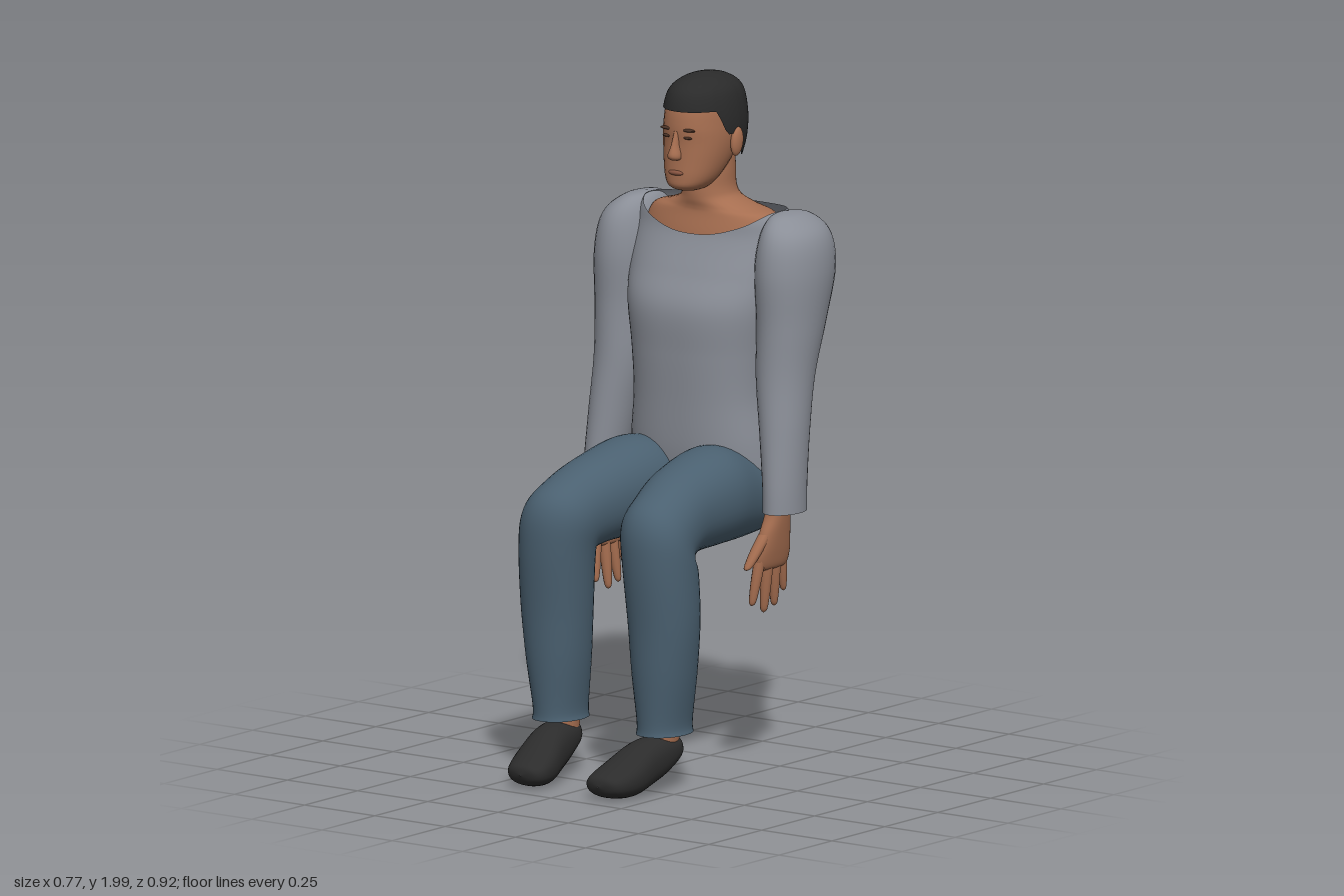
import * as THREE from 'three';

const mat = (name, color, side = THREE.FrontSide) => {
  const m = new THREE.MeshStandardMaterial({ color, side });
  m.name = name;
  return m;
};

// Catmull-Rom blend of cross-sections, t from 0 to 1
function sectionAt(sections, t) {
  const n = sections.length - 1;
  const i = Math.min(Math.floor(t * n), n - 1), f = t * n - i;
  const at = (k) => sections[Math.max(0, Math.min(n, k))];
  const [p0, p1, p2, p3] = [at(i - 1), at(i), at(i + 1), at(i + 2)];
  return p1.map((b, k) => {
    const a = p0[k], c = p2[k], d = p3[k];
    return b + 0.5 * f * (c - a + f * (2 * a - 5 * b + 4 * c - d + f * (3 * (b - c) + d - a)));
  });
}

// Smooth skin over sections [x, y, z, halfWidth, halfDepth, tilt];
// tilt 0 runs downward, tilt 90 runs forward. start/end trim the edge by angle.
function loft(sections, { seg = 32, rows = 40, e = 2, start = () => 0, end = () => 1 } = {}) {
  const pos = [], index = [];
  const pw = (v) => Math.sign(v) * Math.pow(Math.abs(v), 2 / e);
  const full = sections.map((s) => (s.length < 6 ? [...s, 0] : s));
  for (let i = 0; i <= rows; i++) {
    for (let j = 0; j < seg; j++) {
      const th = (j / seg) * Math.PI * 2, c = Math.cos(th), s = Math.sin(th);
      const t = THREE.MathUtils.lerp(start(s), end(s), i / rows);
      const [x, y, z, a, b, tilt] = sectionAt(full, t);
      const r = THREE.MathUtils.degToRad(tilt);
      const u = pw(c) * Math.max(a, 0.0005), v = pw(s) * Math.max(b, 0.0005);
      pos.push(x + u, y + v * Math.sin(r), z + v * Math.cos(r));
      if (i < rows) {
        const p = i * seg + j, q = i * seg + ((j + 1) % seg);
        index.push(p, q, p + seg, q, q + seg, p + seg);
      }
    }
  }
  const g = new THREE.BufferGeometry();
  g.setAttribute('position', new THREE.Float32BufferAttribute(pos, 3));
  g.setIndex(index);
  g.computeVertexNormals();
  return g;
}

export function createModel() {
  const root = new THREE.Group();
  root.name = 'seatedMan';
  const skin = mat('skin', 0xa66e50);
  const sweater = mat('greySweater', 0x8a8e97, THREE.DoubleSide);
  const jeans = mat('blueJeans', 0x4a6070, THREE.DoubleSide);
  const hair = mat('blackHair', 0x2a2a2a, THREE.DoubleSide);
  const shoe = mat('blackShoe', 0x2c2c2c);
  const lip = mat('lip', 0x8a5642);
  const dark = mat('browBrown', 0x4a3226);

  const add = (name, geo, m, parent = root) => {
    const mesh = new THREE.Mesh(geo, m);
    mesh.name = name;
    parent.add(mesh);
    return mesh;
  };
  const blob = (name, m, p, s) => {
    const mesh = add(name, new THREE.SphereGeometry(1, 20, 14), m);
    mesh.position.set(...p);
    mesh.scale.set(...s);
    return mesh;
  };
  const smooth = THREE.MathUtils.smoothstep;

  // Head, neck and the skin inside the neckline
  add('head', loft([
    [0, 1.975, -0.235, 0.001, 0.001], [0, 1.96, -0.235, 0.06, 0.085], [0, 1.92, -0.228, 0.09, 0.126],
    [0, 1.86, -0.223, 0.098, 0.134], [0, 1.81, -0.213, 0.098, 0.122], [0, 1.76, -0.197, 0.09, 0.108],
    [0, 1.71, -0.172, 0.074, 0.086], [0, 1.682, -0.158, 0.054, 0.068], [0, 1.668, -0.162, 0.028, 0.04],
    [0, 1.666, -0.165, 0.001, 0.001],
  ], { e: 2.15 }), skin);
  add('neck', loft([
    [0, 1.8, -0.26, 0.065, 0.07], [0, 1.72, -0.253, 0.07, 0.078], [0, 1.665, -0.252, 0.073, 0.082],
    [0, 1.635, -0.258, 0.09, 0.087], [0, 1.612, -0.27, 0.145, 0.094], [0, 1.592, -0.278, 0.205, 0.103],
    [0, 1.54, -0.283, 0.235, 0.122], [0, 1.48, -0.28, 0.235, 0.13],
  ]), skin);
  add('nose', loft([
    [0, 1.845, -0.095, 0.007, 0.008], [0, 1.805, -0.09, 0.011, 0.018], [0, 1.778, -0.085, 0.019, 0.023],
    [0, 1.765, -0.087, 0.016, 0.018], [0, 1.76, -0.09, 0.001, 0.001],
  ], { seg: 16, rows: 16 }), skin);
  blob('mouth', lip, [0, 1.725, -0.09], [0.026, 0.008, 0.009]);

  // Short hair cap, high over the forehead and low at the nape
  add('hair', loft([
    [0, 2.0, -0.23, 0.001, 0.001], [0, 1.985, -0.23, 0.052, 0.075], [0, 1.95, -0.23, 0.09, 0.125],
    [0, 1.88, -0.229, 0.106, 0.141], [0, 1.81, -0.235, 0.104, 0.13], [0, 1.75, -0.252, 0.084, 0.1],
  ], { seg: 64, e: 2.1, end: (s) => 0.98 - 0.24 * smooth(s, -0.4, -0.15) - 0.2 * smooth(s, 0.2, 0.5) }), hair);

  // Sweater body with a wide scooped neckline and a hem dropping at the back
  add('sweaterBody', loft([
    [0, 1.612, -0.28, 0.232, 0.105], [0, 1.58, -0.285, 0.25, 0.12], [0, 1.53, -0.288, 0.26, 0.134],
    [0, 1.43, -0.275, 0.26, 0.165], [0, 1.33, -0.253, 0.245, 0.183], [0, 1.2, -0.243, 0.225, 0.173],
    [0, 1.07, -0.238, 0.217, 0.163], [0, 0.94, -0.255, 0.235, 0.175], [0, 0.85, -0.275, 0.243, 0.185],
    [0, 0.755, -0.27, 0.225, 0.175],
  ], {
    seg: 64, rows: 60, e: 2.4,
    start: (s) => (s > 0 ? 0.21 : 0.05) * s * s,
    end: (s) => 0.86 + 0.14 * smooth(-s, -0.2, 0.9),
  }), sweater);

  // Seat of the jeans
  add('jeansSeat', loft([
    [0, 0.92, -0.265, 0.2, 0.14], [0, 0.83, -0.28, 0.222, 0.16], [0, 0.76, -0.285, 0.21, 0.15],
    [0, 0.705, -0.28, 0.16, 0.115], [0, 0.685, -0.28, 0.001, 0.001],
  ], { e: 2.3 }), jeans);

  for (const [side, k] of [['left', 1], ['right', -1]]) {
    const part = (name, sections, m, opt) =>
      add(side + name, loft(sections.map(([x, ...r]) => [x * k, ...r]), opt), m);

    // Face details
    blob(side + 'Ear', skin, [0.106 * k, 1.805, -0.238], [0.014, 0.042, 0.024]).rotation.x = -0.15;
    blob(side + 'Eye', dark, [0.036 * k, 1.828, -0.097], [0.016, 0.004, 0.006]);
    blob(side + 'Brow', dark, [0.037 * k, 1.85, -0.099], [0.024, 0.005, 0.009]);

    // Sleeve
    part('Sleeve', [
      [0.25, 1.614, -0.285, 0.001, 0.001], [0.262, 1.602, -0.285, 0.045, 0.075], [0.28, 1.55, -0.282, 0.085, 0.125],
      [0.285, 1.45, -0.275, 0.1, 0.14], [0.288, 1.3, -0.253, 0.09, 0.115], [0.288, 1.15, -0.226, 0.08, 0.093],
      [0.303, 1.0, -0.202, 0.067, 0.082], [0.317, 0.85, -0.184, 0.056, 0.077], [0.32, 0.768, -0.18, 0.054, 0.077],
    ], sweater, { rows: 56 });

    // Hand with spread fingers
    part('Palm', [
      [0.312, 0.86, -0.172, 0.034, 0.04], [0.307, 0.77, -0.165, 0.03, 0.043], [0.301, 0.71, -0.158, 0.028, 0.06],
      [0.295, 0.65, -0.155, 0.024, 0.073], [0.29, 0.61, -0.155, 0.018, 0.064], [0.289, 0.6, -0.155, 0.001, 0.03],
    ], skin, { e: 2.3 });
    const fingers = [
      ['Thumb', [0.3, 0.71, -0.115], [0.285, 0.612, -0.045], 0.019],
      ['IndexFinger', [0.292, 0.64, -0.1], [0.278, 0.503, -0.08], 0.016],
      ['MiddleFinger', [0.292, 0.64, -0.137], [0.276, 0.475, -0.138], 0.017],
      ['RingFinger', [0.292, 0.64, -0.172], [0.277, 0.487, -0.186], 0.016],
      ['LittleFinger', [0.292, 0.65, -0.203], [0.28, 0.525, -0.226], 0.014],
    ];
    for (const [name, a, b, r] of fingers) {
      const sec = [[0, 1], [0.3, 1], [0.6, 0.9], [0.85, 0.72], [0.96, 0.5], [1, 0.02]].map(([t, f]) =>
        [...a.map((v, i) => v + (b[i] - v) * t), r * f, r * f]);
      part(name, sec, skin, { seg: 12, rows: 15 });
    }

    // Trouser leg from hip over the bent knee to the ankle
    part('TrouserLeg', [
      [0.1, 0.8, -0.435, 0.001, 0.001, 90], [0.11, 0.79, -0.4, 0.095, 0.075, 90], [0.117, 0.788, -0.3, 0.12, 0.108, 90],
      [0.125, 0.798, -0.18, 0.125, 0.13, 90], [0.136, 0.81, -0.06, 0.133, 0.142, 90], [0.148, 0.793, 0.09, 0.12, 0.128, 83],
      [0.165, 0.762, 0.18, 0.112, 0.12, 66], [0.175, 0.725, 0.225, 0.111, 0.122, 42], [0.184, 0.65, 0.227, 0.108, 0.111, 14],
      [0.19, 0.5, 0.218, 0.102, 0.103, 0], [0.188, 0.35, 0.213, 0.089, 0.099, 0], [0.185, 0.21, 0.208, 0.07, 0.092, 0],
      [0.185, 0.173, 0.208, 0.073, 0.093, 0],
    ], jeans, { seg: 40, rows: 72, e: 2.1 });

    part('Ankle', [[0.178, 0.25, 0.205, 0.045, 0.05], [0.178, 0.18, 0.205, 0.046, 0.052], [0.176, 0.11, 0.21, 0.042, 0.05]], skin, { rows: 8 });

    // Shoe, heel raised and toe pointing down
    part('Shoe', [
      [0.18, 0.142, 0.152, 0.001, 0.001, 73], [0.18, 0.132, 0.17, 0.042, 0.036, 73], [0.174, 0.112, 0.235, 0.056, 0.058, 73],
      [0.165, 0.093, 0.295, 0.063, 0.064, 73], [0.153, 0.063, 0.365, 0.071, 0.056, 75], [0.143, 0.05, 0.42, 0.066, 0.041, 78],
      [0.139, 0.048, 0.452, 0.046, 0.025, 80], [0.138, 0.049, 0.463, 0.001, 0.001, 80],
    ], shoe, { e: 2.3 });
  }
  return root;
}
